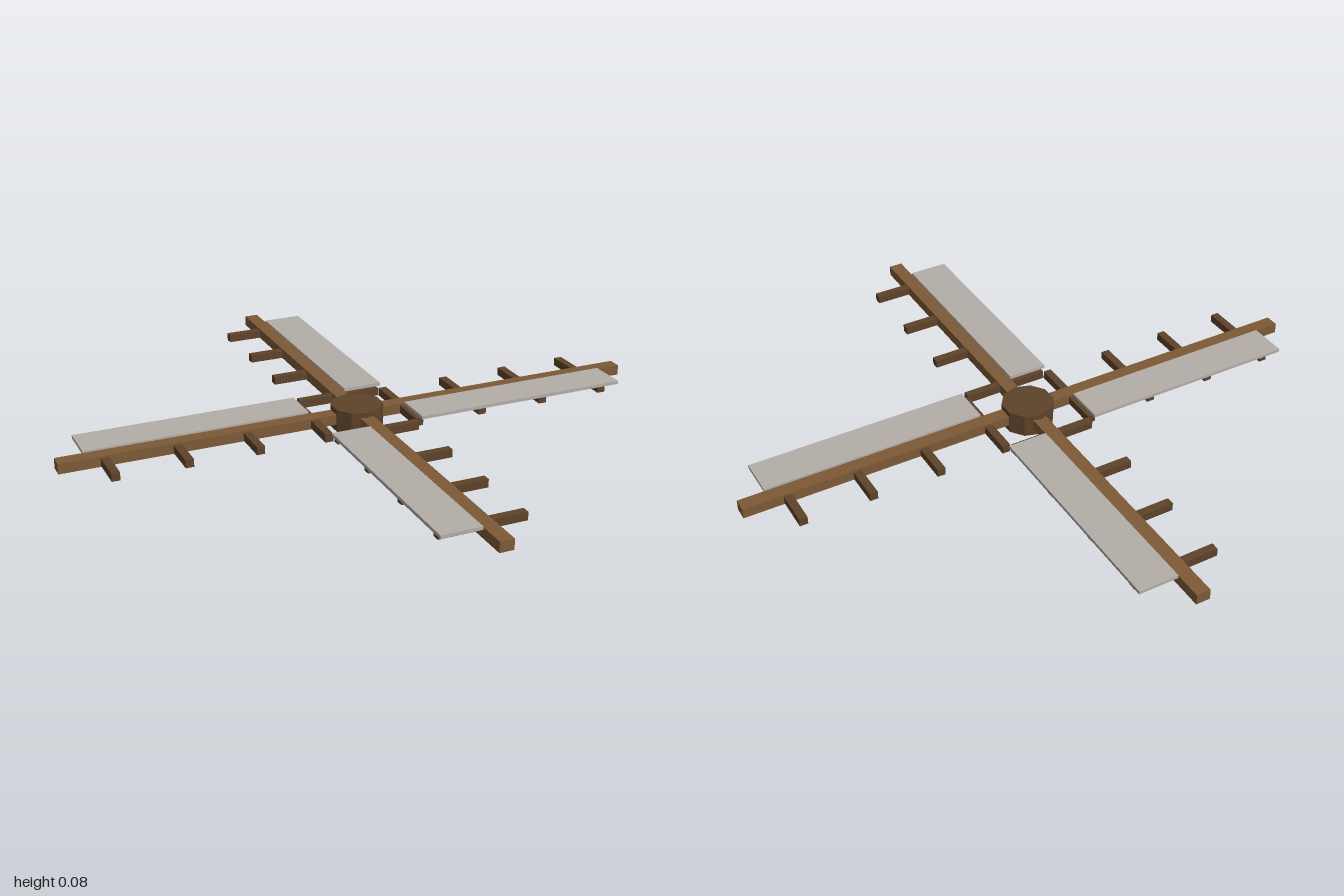
import * as THREE from 'three';

const beamWood = new THREE.MeshStandardMaterial({ color: 0x7d5a36, flatShading: true });
const darkWood = new THREE.MeshStandardMaterial({ color: 0x5e432a, flatShading: true });
const cloth = new THREE.MeshStandardMaterial({ color: 0xb4aea8, flatShading: true });

function box(name, material, size, position) {
  const mesh = new THREE.Mesh(new THREE.BoxGeometry(...size), material);
  mesh.name = name;
  mesh.position.set(...position);
  return mesh;
}

// One sail arm pointing along +x: spar, cross rungs and cloth panel
function createArm() {
  const arm = new THREE.Group();
  arm.name = 'sailArm';
  arm.add(box('spar', beamWood, [1, 0.035, 0.047], [0.5, 0.042, 0]));
  for (let i = 0; i < 4; i++) {
    arm.add(box('rung', darkWood, [0.027, 0.027, 0.287], [0.159 + i * 0.2315, 0.04, 0]));
  }
  arm.add(box('sailCloth', cloth, [0.75, 0.011, 0.133], [0.536, 0.059, 0.092]));
  return arm;
}

export function createModel() {
  const model = new THREE.Group();
  model.name = 'windmillSails';

  // Ten-sided hub
  const hub = new THREE.Mesh(new THREE.CylinderGeometry(0.087, 0.087, 0.077, 10), darkWood);
  hub.name = 'hub';
  hub.position.y = 0.0385;
  model.add(hub);

  // Four arms in a cross
  for (let i = 0; i < 4; i++) {
    const arm = createArm();
    arm.rotation.y = i * Math.PI / 2;
    model.add(arm);
  }
  return model;
}
